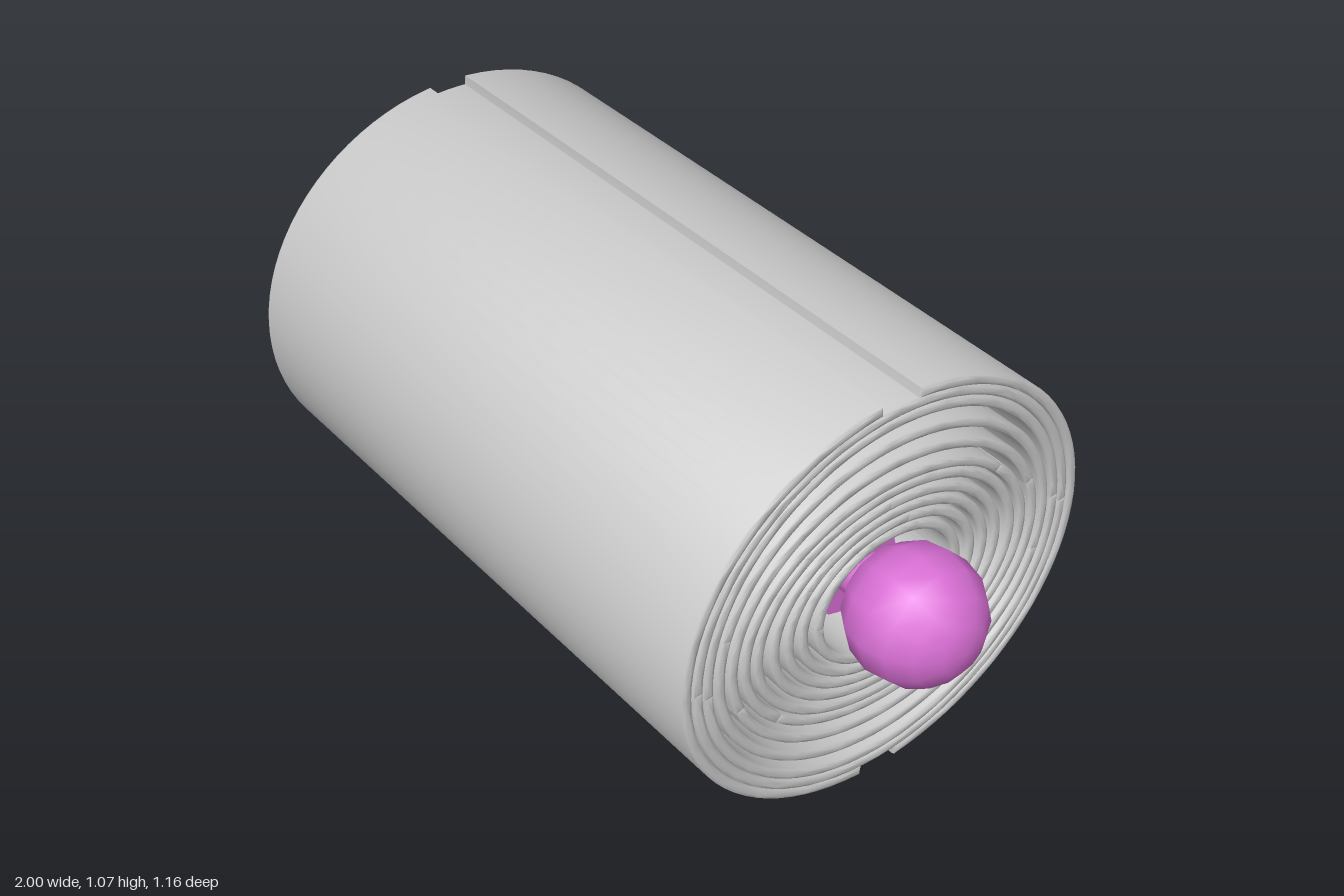
import * as THREE from 'three';
import { toCreasedNormals } from 'three/addons/utils/BufferGeometryUtils.js';

const CENTER_Y = 0.537, X_MIN = -0.975, X_MAX = 0.745, BEVEL = 0.008;
const THICK = 0.027;

// Curved half shell: an elliptical band running along x, angles from +z towards +y
function shellGeometry(rz, ry, start, end, taper) {
  const n = 40, outline = [];
  const add = (t, inset) => {
    const a = start + (end - start) * t;
    outline.push(new THREE.Vector2(-Math.cos(a) * (rz - inset), Math.sin(a) * (ry - inset)));
  };
  for (let i = 0; i <= n; i++) add(i / n, BEVEL);
  for (let i = n; i >= 0; i--) add(i / n, THICK - BEVEL);
  const length = X_MAX - X_MIN - 2 * BEVEL;
  const geo = new THREE.ExtrudeGeometry(new THREE.Shape(outline), {
    depth: length, bevelEnabled: true, bevelSize: BEVEL, bevelThickness: BEVEL, bevelSegments: 2,
  });
  geo.rotateY(Math.PI / 2);
  geo.translate(X_MIN + BEVEL, 0, 0);
  // narrow the inner shells slightly towards the feet
  const p = geo.attributes.position;
  for (let i = 0; i < p.count; i++) {
    const s = THREE.MathUtils.lerp(taper, 1, (p.getX(i) - X_MIN) / (X_MAX - X_MIN));
    p.setY(i, p.getY(i) * s);
    p.setZ(i, p.getZ(i) * s);
  }
  return toCreasedNormals(geo, 0.9);
}

export function createModel() {
  const model = new THREE.Group();
  const grey = new THREE.MeshStandardMaterial({ color: 0xcccccc });
  const pink = new THREE.MeshStandardMaterial({ color: 0xda70d6 });

  const add = (name, geo, material, x, y, z) => {
    const mesh = new THREE.Mesh(geo, material);
    mesh.name = name;
    mesh.position.set(x, y, z);
    model.add(mesh);
    return mesh;
  };

  // Nested layers, two half shells each: [rz, ry, seam angle in degrees, half gap, taper]
  const layers = [
    [0.58, 0.537, 90, 0.105, 1],
    [0.55, 0.513, 0, 0.01, 1],
    [0.522, 0.485, -3, 0.01, 1],
    [0.49, 0.43, 15, 0.01, 1],
    [0.455, 0.375, -18, 0.01, 1],
    [0.42, 0.325, -40, 0.01, 0.97],
    [0.385, 0.298, 50, 0.01, 0.95],
    [0.34, 0.265, 88, 0.01, 0.94],
    [0.3, 0.236, 35, 0.01, 0.94],
    [0.26, 0.208, 100, 0.01, 0.94],
    [0.215, 0.18, 0, 0.01, 0.96],
  ];
  layers.forEach(([rz, ry, seam, gap, taper], i) => {
    for (const half of [0, 1]) {
      const a = THREE.MathUtils.degToRad(seam) + half * Math.PI;
      add(`layer${i + 1}Shell${half + 1}`,
        shellGeometry(rz, ry, a + gap, a + Math.PI - gap, taper), grey, 0, CENTER_Y, 0);
    }
  });

  // Simple figure lying along x inside the layers
  const head = new THREE.SphereGeometry(0.165, 12, 8);
  head.rotateZ(-Math.PI / 2);
  add('head', head, pink, 0.83, 0.533, 0);

  const limb = (name, radius, x0, x1, z, sy = 1, sides = 12) => {
    const geo = new THREE.CylinderGeometry(radius, radius, x1 - x0, sides);
    geo.rotateZ(-Math.PI / 2);
    geo.scale(1, sy, 1);
    add(name, geo, pink, (x0 + x1) / 2, 0.533, z);
  };
  limb('neck', 0.06, 0.6, 0.72, 0);
  limb('torso', 0.13, -0.1, 0.62, 0);
  for (const [side, s] of [['left', 1], ['right', -1]]) {
    limb(`${side}Leg`, 0.057, -1, -0.05, s * 0.065, 1.2);
  }
  return model;
}
